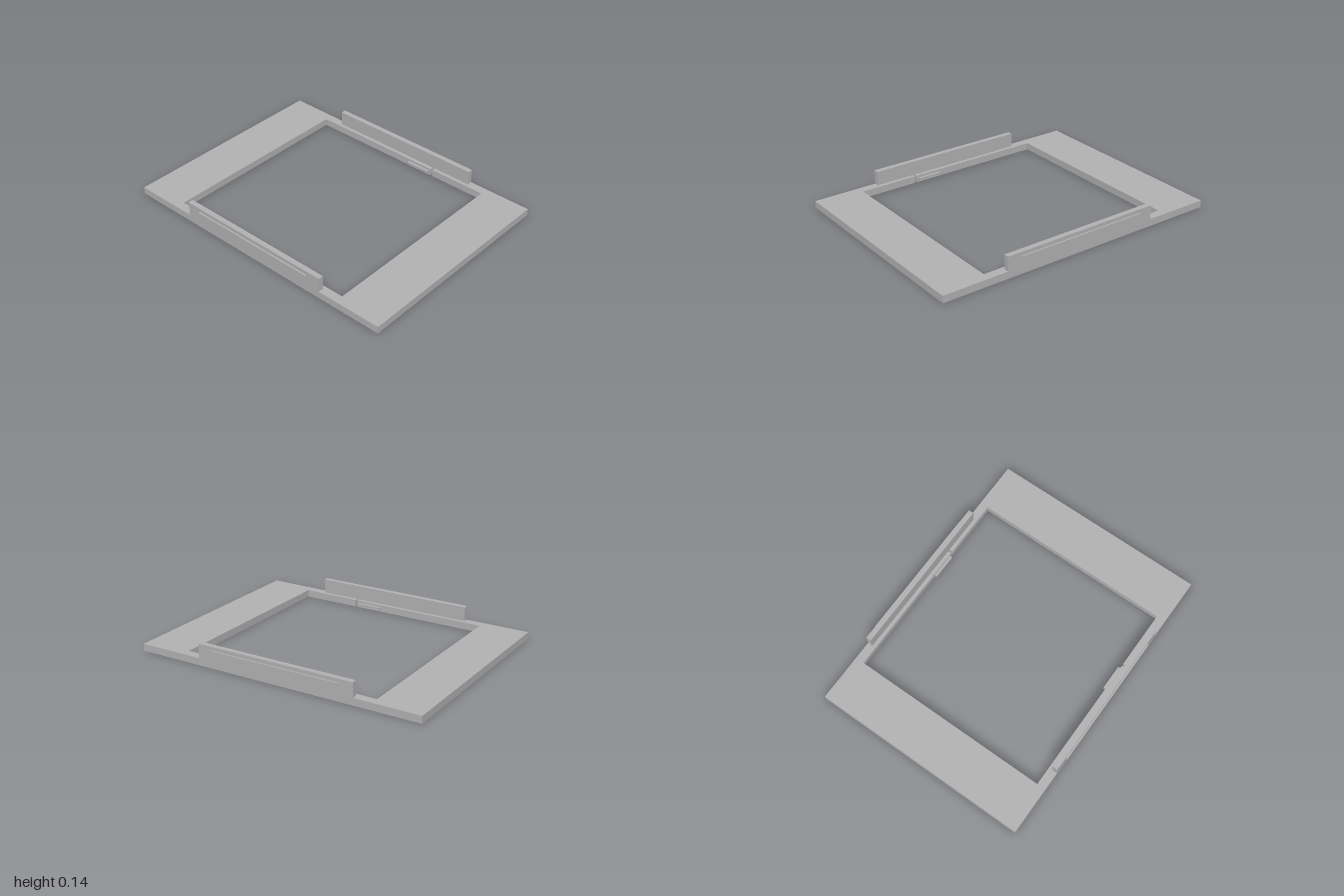
import * as THREE from 'three';

export function createModel() {
  const model = new THREE.Group();
  model.name = 'slidingFrame';
  const grey = new THREE.MeshStandardMaterial({ color: 0xb2b2b2 });
  grey.name = 'grey plastic';

  const polygon = (Type, points) => new Type(points.map(([x, z]) => new THREE.Vector2(x, -z)));

  // Flat frame: rectangular opening with a narrow relief slit on each side
  const outline = polygon(THREE.Shape, [[-0.74, 1], [0.74, 1], [0.74, -1], [-0.74, -1]]);
  const half = [[0.68, -0.68], [0.68, 0.265], [0.705, 0.265], [0.705, 0.28], [0.68, 0.28], [0.68, 0.68]];
  const mirrored = half.map(([x, z]) => [-x, z]).reverse();
  outline.holes.push(polygon(THREE.Path, [...half, ...mirrored]));
  const frameGeometry = new THREE.ExtrudeGeometry(outline, { depth: 0.048, bevelEnabled: false });
  frameGeometry.rotateX(-Math.PI / 2);
  const frame = new THREE.Mesh(frameGeometry, grey);
  frame.name = 'frame';
  model.add(frame);

  // Box given by its limits on each axis
  const addBox = (name, [x0, x1], [y0, y1], [z0, z1]) => {
    const mesh = new THREE.Mesh(new THREE.BoxGeometry(Math.abs(x1 - x0), y1 - y0, z1 - z0), grey);
    mesh.position.set((x0 + x1) / 2, (y0 + y1) / 2, (z0 + z1) / 2);
    mesh.name = name;
    model.add(mesh);
  };

  for (const [side, s] of [['left', 1], ['right', -1]]) {
    // Upright rail, its outer guide ridge and the inner snap tab
    addBox(side + 'Rail', [s * 0.705, s * 0.74], [0.048, 0.145], [-0.555, 0.553]);
    addBox(side + 'GuideRidge', [s * 0.74, s * 0.75], [0.098, 0.12], [-0.458, 0.458]);
    addBox(side + 'SnapTab', [s * 0.664, s * 0.68], [0.012, 0.032], [0.08, 0.25]);
  }
  return model;
}
